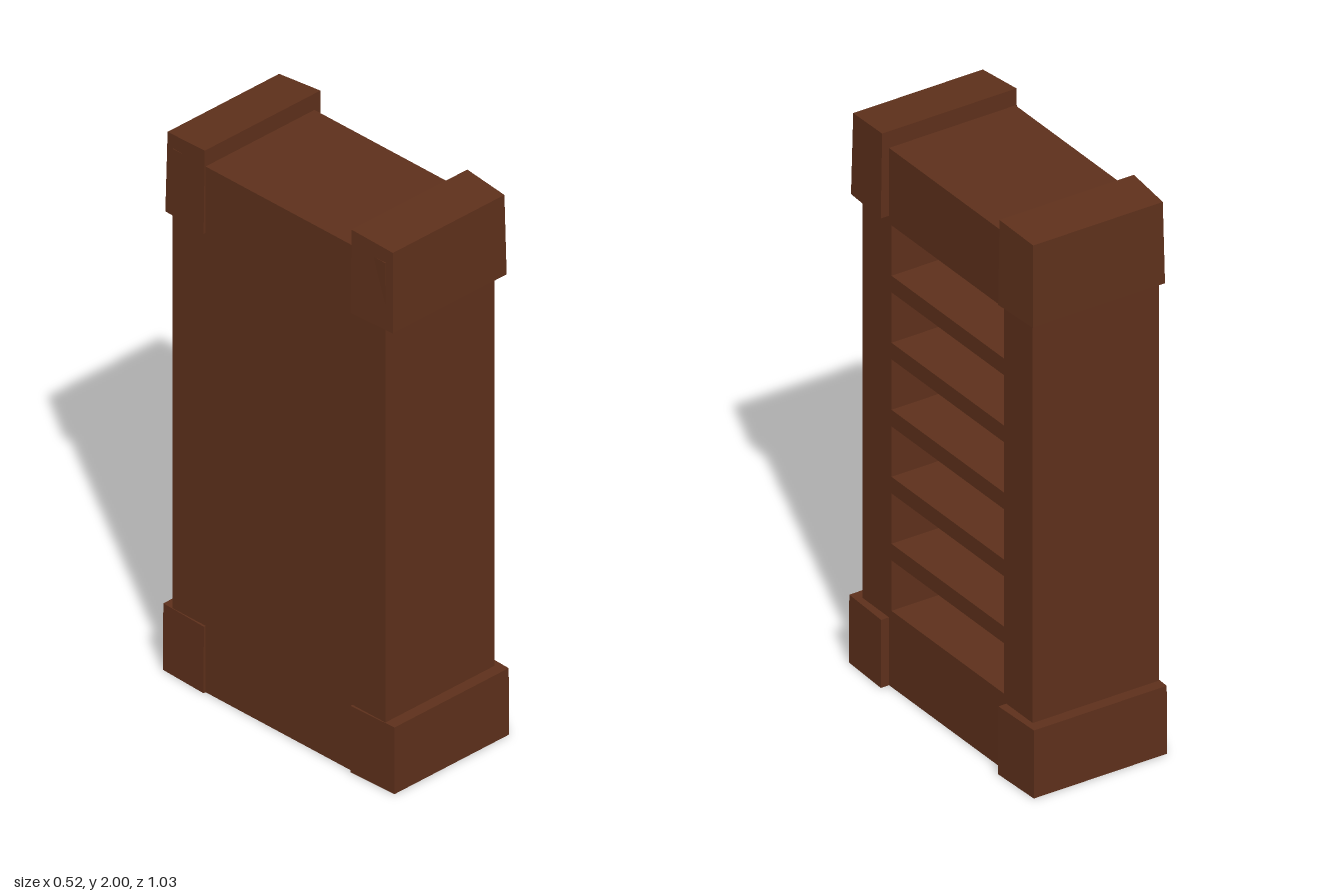
import * as THREE from 'three';

const wood = new THREE.MeshStandardMaterial({ color: 0x5e301b, flatShading: true });

function addMesh(parent, geometry, name) {
  const mesh = new THREE.Mesh(geometry, wood);
  mesh.name = name;
  parent.add(mesh);
  return mesh;
}

function rect(target, halfWidth, y0, y1) {
  target.moveTo(-halfWidth, y0);
  target.lineTo(halfWidth, y0);
  target.lineTo(halfWidth, y1);
  target.lineTo(-halfWidth, y1);
  target.closePath();
  return target;
}

// End block on the +z side, with each corner nudged by a rule so it tapers
// outward (and upward for the top block).
function endBlock({ y0, y1, zIn, zOut, halfIn, halfOut, lean, slope }) {
  const geometry = new THREE.BoxGeometry(1, 1, 1);
  const p = geometry.attributes.position;
  for (let i = 0; i < p.count; i++) {
    const outer = p.getZ(i) > 0;
    const upper = p.getY(i) > 0;
    const half = (outer ? halfOut : halfIn) - (upper ? lean : 0);
    p.setXYZ(
      i,
      Math.sign(p.getX(i)) * half,
      upper ? y1 - (outer ? slope : 0) : y0,
      outer ? zOut - (upper ? lean : 0) : zIn
    );
  }
  geometry.computeVertexNormals();
  return geometry;
}

export function createModel() {
  const model = new THREE.Group();
  model.name = 'bookcase';

  const height = 1.94, halfLength = 0.475;
  const back = -0.25, panel = 0.03, front = 0.228;

  // Carcass with six open compartments facing +x
  const outline = rect(new THREE.Shape(), halfLength, 0, height);
  for (let i = 0; i < 6; i++) {
    const y = 0.275 + i * 0.242;
    outline.holes.push(rect(new THREE.Path(), 0.314, y, y + 0.182));
  }
  const carcass = new THREE.ExtrudeGeometry(outline, {
    depth: front - back - panel,
    bevelEnabled: false,
  });
  carcass.rotateY(Math.PI / 2);
  addMesh(model, carcass, 'shelves').position.x = back + panel;

  // Solid back panel
  const backPanel = new THREE.BoxGeometry(panel, height, halfLength * 2);
  addMesh(model, backPanel, 'backPanel').position.set(back + panel / 2, height / 2, 0);

  // Tapered blocks wrapping both ends at top and bottom
  const topBlock = endBlock({
    y0: 1.695, y1: 2, zIn: 0.328, zOut: 0.508,
    halfIn: 0.259, halfOut: 0.25, lean: 0.005, slope: 0.012,
  });
  const baseBlock = endBlock({
    y0: 0, y1: 0.245, zIn: 0.328, zOut: 0.517,
    halfIn: 0.259, halfOut: 0.252, lean: 0.001, slope: 0,
  });
  for (const [side, turn] of [['left', 0], ['right', Math.PI]]) {
    const end = side === 'left' ? 'Front' : 'Rear';
    addMesh(model, topBlock, 'topBlock' + end).rotation.y = turn;
    addMesh(model, baseBlock, 'baseBlock' + end).rotation.y = turn;
  }

  return model;
}
